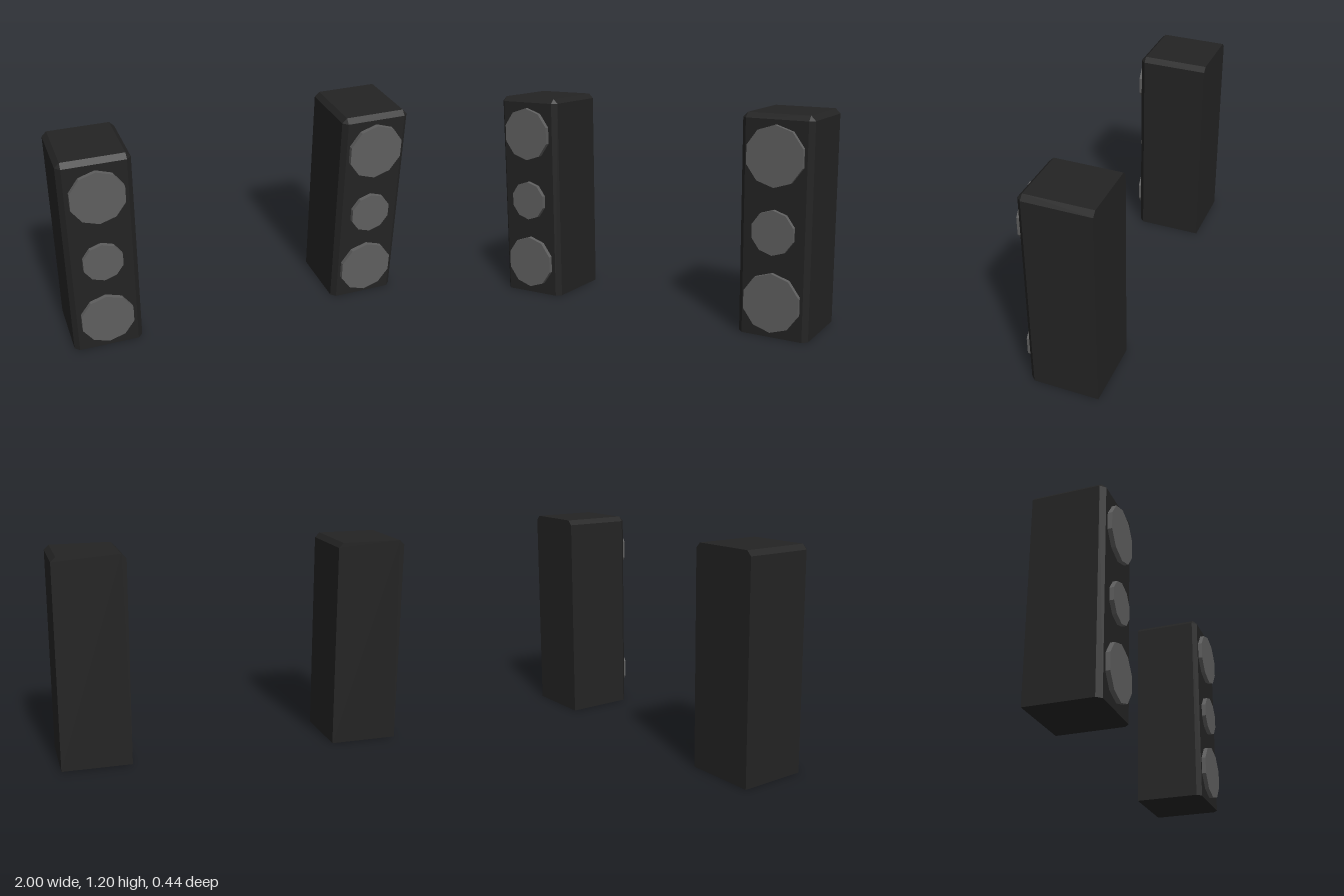
import * as THREE from 'three';
import { ConvexGeometry } from 'three/addons/geometries/ConvexGeometry.js';

const HALF_WIDTH = 0.2, HEIGHT = 1.204, DEPTH = 0.404, BEVEL = 0.027;

// Box with bevelled front uprights and bevelled top edges; back and base stay sharp.
function cabinetGeometry() {
  const points = [];
  const w = HALF_WIDTH, b = BEVEL, h = HEIGHT, f = DEPTH;
  for (const s of [-1, 1]) {
    const add = (x, y, z) => points.push(new THREE.Vector3(s * x, y, z));
    add(w, 0, 0);
    add(w, 0, f - b);
    add(w - b, 0, f);
    add(w, h - b, 0);
    add(w, h - b, f - b);
    add(w - b, h - b, f);
    add(w - b, h, 0);
    add(w - b, h, f - b);
  }
  return new ConvexGeometry(points);
}

export function createModel() {
  const cabinetMaterial = new THREE.MeshStandardMaterial({ color: 0x232323, flatShading: true });
  cabinetMaterial.name = 'cabinet black';
  const driverMaterial = new THREE.MeshStandardMaterial({ color: 0x5e5e5e, flatShading: true });
  driverMaterial.name = 'driver grey';

  // Ten-sided disc standing proud of the cabinet front, corner at the top.
  function driver(name, y, radius) {
    const thickness = 0.035, proud = 0.025;
    const geometry = new THREE.CylinderGeometry(radius, radius, thickness, 10);
    geometry.rotateX(Math.PI / 2);
    const mesh = new THREE.Mesh(geometry, driverMaterial);
    mesh.name = name;
    mesh.position.set(0, y, DEPTH + proud - thickness / 2);
    return mesh;
  }

  function speaker(name, x, back, largeRadius, smallRadius) {
    const group = new THREE.Group();
    group.name = name;
    const cabinet = new THREE.Mesh(cabinetGeometry(), cabinetMaterial);
    cabinet.name = 'cabinet';
    group.add(
      cabinet,
      driver('upperDriver', 0.988, largeRadius),
      driver('middleDriver', 0.583, smallRadius),
      driver('lowerDriver', 0.198, largeRadius)
    );
    group.position.set(x, 0, back);
    return group;
  }

  // The pair differs slightly in driver size and placement.
  const model = new THREE.Group();
  model.name = 'speakerPair';
  model.add(
    speaker('leftSpeaker', 0.8, -0.207, 0.164, 0.122),
    speaker('rightSpeaker', -0.8, -0.223, 0.156, 0.116)
  );
  return model;
}
